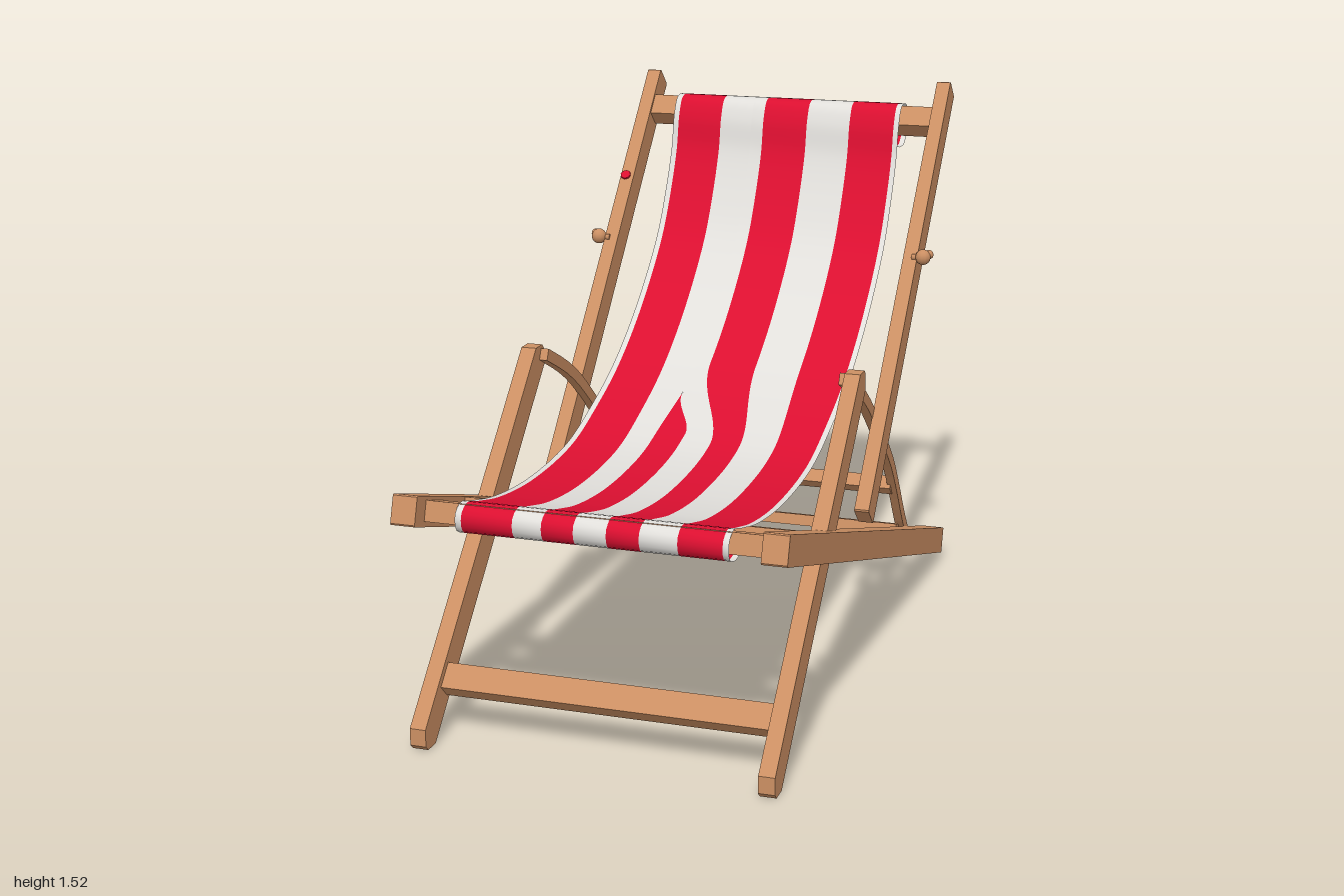
import * as THREE from 'three';

export function createModel() {
  const model = new THREE.Group();
  model.name = 'deckChair';

  const material = (name, color, side = THREE.FrontSide) => {
    const m = new THREE.MeshStandardMaterial({ color, side });
    m.name = name;
    return m;
  };
  const wood = material('wood', 0xcb8f63);
  const red = material('redCloth', 0xdb0f30, THREE.DoubleSide);
  const white = material('whiteCloth', 0xe0deda, THREE.DoubleSide);

  const add = (name, geometry, mat, x = 0, y = 0, z = 0) => {
    const mesh = new THREE.Mesh(geometry, mat);
    mesh.name = name;
    mesh.position.set(x, y, z);
    model.add(mesh);
    return mesh;
  };

  // Extrude a side outline (horizontal = z, vertical = y) to a width centred on x
  const sideExtrude = (points, width) => {
    const shape = new THREE.Shape(points);
    const g = new THREE.ExtrudeGeometry(shape, { depth: width, bevelEnabled: false });
    return g.translate(0, 0, -width / 2).rotateY(-Math.PI / 2);
  };

  // Straight timber between two [z, y] points with chamfered ends
  const beam = (a, b, thick, width, c) => {
    const A = new THREE.Vector2(...a), B = new THREE.Vector2(...b);
    const u = B.clone().sub(A), len = u.length(), h = thick / 2;
    const angle = u.angle();
    const outline = [
      [c, -h], [len - c, -h], [len, -h + c], [len, h - c],
      [len - c, h], [c, h], [0, h - c], [0, -h + c],
    ].map(([x, y]) => new THREE.Vector2(x, y).rotateAround(new THREE.Vector2(), angle).add(A));
    return sideExtrude(outline, width);
  };

  // Bent strip following a curve of [z, y] points
  const bentStrip = (pts, thick, width) => {
    const curve = new THREE.SplineCurve(pts.map((p) => new THREE.Vector2(...p)));
    const upper = [], lower = [];
    for (let i = 0; i <= 20; i++) {
      const p = curve.getPointAt(i / 20), t = curve.getTangentAt(i / 20);
      const n = new THREE.Vector2(-t.y, t.x).multiplyScalar(thick / 2);
      upper.push(p.clone().add(n));
      lower.unshift(p.clone().sub(n));
    }
    return sideExtrude([...upper, ...lower], width);
  };

  // Side frames, mirrored
  for (const [side, s] of [['left', 1], ['right', -1]]) {
    add(side + 'SeatRail', beam([-0.877, 0.058], [0.985, 0.657], 0.08, 0.067, 0.004), wood, s * 0.487);
    add(side + 'BackPost', beam([0.01, 0.42], [-0.972, 1.497], 0.08, 0.042, 0.004), wood, s * 0.47);
    add(side + 'FrontLeg', beam([0.98, 0.0075], [0.1175, 0.8725], 0.086, 0.044, 0.033), wood, s * 0.47);
    add(side + 'CurvedProp', bentStrip([
      [0.14, 0.855], [-0.02, 0.775], [-0.16, 0.68], [-0.4, 0.475], [-0.5, 0.36], [-0.61, 0.21], [-0.72, 0.085],
    ], 0.034, 0.026), wood, s * 0.438);
    // Pivot bolts and wing knobs
    add(side + 'LegBolt', new THREE.CylinderGeometry(0.022, 0.022, 0.03, 12).rotateZ(Math.PI / 2),
      wood, s * 0.438, 0.49, 0.49);
    add(side + 'KnobStem', new THREE.CylinderGeometry(0.009, 0.009, 0.04, 8).rotateZ(Math.PI / 2),
      wood, s * 0.495, 1.06, -0.52);
    add(side + 'Knob', new THREE.SphereGeometry(0.023, 12, 8), wood, s * 0.509, 1.062, -0.517);
    add(side + 'KnobWing', new THREE.SphereGeometry(0.014, 10, 6), wood, s * 0.524, 1.068, -0.53);
  }

  // Cross bars: name, y, z, length, height, depth, tilt
  const railTilt = -0.31;
  const bars = [
    ['frontClothBar', 0.626, 0.882, 0.92, 0.055, 0.1, railTilt],
    ['seatCrossBar', 0.556, 0.667, 0.92, 0.075, 0.05, railTilt],
    ['legCrossBar', 0.147, 0.84, 0.9, 0.05, 0.072, 0.785],
    ['propCrossBar', 0.352, -0.5, 0.87, 0.042, 0.042, 0.85],
    ['propPlank', 0.175, -0.605, 0.87, 0.034, 0.075, railTilt],
    ['topClothBar', 1.405, -0.885, 0.9, 0.06, 0.07, 0.83],
  ];
  for (const [name, y, z, length, height, depth, tilt] of bars) {
    add(name, new THREE.BoxGeometry(length, height, depth), wood, 0, y, z).rotation.x = tilt;
  }

  // Sling profile as [z, y]: front hem, sagging seat, back, roll over the top bar
  const profile = [
    [0.84, 0.59], [0.9, 0.585], [0.945, 0.605], [0.95, 0.645], [0.915, 0.668], [0.84, 0.65],
    [0.7, 0.617], [0.46, 0.592], [0.165, 0.605], [-0.02, 0.655], [-0.235, 0.74], [-0.45, 0.875],
    [-0.64, 1.045], [-0.72, 1.16], [-0.79, 1.3], [-0.815, 1.4], [-0.85, 1.453], [-0.92, 1.45],
    [-0.95, 1.405], [-0.9, 1.335], [-0.84, 1.33],
  ];
  const sling = new THREE.CatmullRomCurve3(
    profile.map(([z, y]) => new THREE.Vector3(0, y, z)), false, 'centripetal').getSpacedPoints(150);

  // Stripe borders drift sideways from the back to the seat
  const ease = (z, a, b) => THREE.MathUtils.smoothstep(z, a, b);
  const drift = (from, to) => (z) => THREE.MathUtils.lerp(from, to, ease(z, -0.27, 0.1));
  const extraLeft = drift(-0.108, -0.13);
  const borders = [
    () => -0.363,
    () => -0.346,
    () => -0.208,
    extraLeft,
    (z) => extraLeft(z) + 0.085 * ease(z, -0.14, 0.06),
    drift(-0.07, 0.042),
    drift(0.07, 0.128),
    drift(0.205, 0.228),
    () => 0.344,
    () => 0.36,
  ];

  const stripe = (left, right) => {
    const rows = sling.filter((p) => right(p.z) - left(p.z) > 1e-4);
    const pos = [], index = [];
    rows.forEach((p, i) => {
      pos.push(left(p.z), p.y, p.z, right(p.z), p.y, p.z);
      if (i) {
        const k = i * 2;
        index.push(k - 2, k - 1, k, k - 1, k + 1, k);
      }
    });
    const g = new THREE.BufferGeometry();
    g.setAttribute('position', new THREE.Float32BufferAttribute(pos, 3));
    g.setIndex(index);
    g.computeVertexNormals();
    return g;
  };
  for (let i = 0; i < borders.length - 1; i++) {
    add(i % 2 ? 'redStripe' : 'whiteStripe', stripe(borders[i], borders[i + 1]), i % 2 ? red : white);
  }

  // Small paint fleck on the right back post
  const fleck = add('paintFleck', new THREE.CylinderGeometry(0.016, 0.016, 0.006, 8), red, -0.474, 1.229, -0.668);
  fleck.rotation.x = 0.738;

  return model;
}
